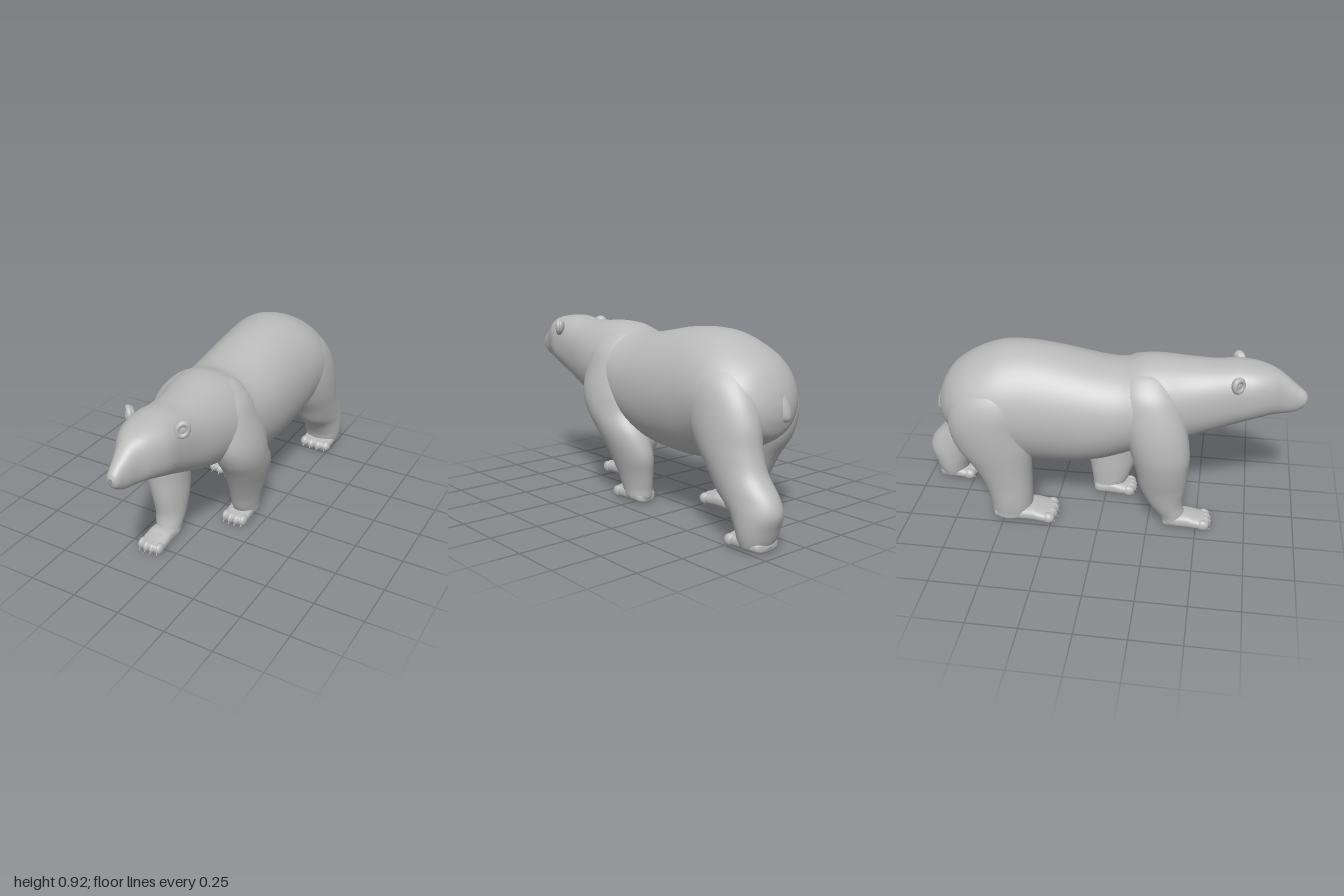
import * as THREE from 'three';

const fur = new THREE.MeshStandardMaterial({ color: 0xbababa });
fur.name = 'greyFur';

const spow = (v, e) => Math.sign(v) * Math.abs(v) ** e;

// Smooth loft through rings [cx, cy, cz, r1, r2, roundness]; roundness below 1 is boxier.
// Upright rings lie in x/y (running towards -z), flat ones in x/z (running down).
function loft(name, rings, upright, steps = 64, sides = 40) {
  const curve = pick => new THREE.CatmullRomCurve3(rings.map(pick), false, 'catmullrom', 0.5);
  const centre = curve(r => new THREE.Vector3(r[0], r[1], r[2]));
  const radius = curve(r => new THREE.Vector3(r[3], r[4], r[5] ?? 1));
  const pos = [], idx = [];
  for (let i = 0; i <= steps; i++) {
    const c = centre.getPoint(i / steps), r = radius.getPoint(i / steps);
    const r1 = Math.max(r.x, 0.001), r2 = Math.max(r.y, 0.001);
    for (let j = 0; j < sides; j++) {
      const a = (j / sides) * Math.PI * 2;
      const u = r1 * spow(Math.cos(a), r.z), v = r2 * spow(Math.sin(a), r.z);
      if (upright) pos.push(c.x + u, c.y + v, c.z);
      else pos.push(c.x + u, c.y, c.z - v);
      if (i < steps) {
        const p = i * sides + j, q = i * sides + (j + 1) % sides;
        idx.push(p, p + sides, q, q, p + sides, q + sides);
      }
    }
  }
  const geo = new THREE.BufferGeometry();
  geo.setAttribute('position', new THREE.Float32BufferAttribute(pos, 3));
  geo.setIndex(idx);
  geo.computeVertexNormals();
  return named(name, geo);
}

function named(name, geo) {
  const mesh = new THREE.Mesh(geo, fur);
  mesh.name = name;
  return mesh;
}

// Ellipsoid, optionally flattened on the ground
function blob(name, x, y, z, rx, ry, rz, grounded = false) {
  const geo = new THREE.SphereGeometry(1, 28, 18);
  geo.scale(rx, ry, rz).translate(x, y, z);
  if (grounded) {
    const p = geo.attributes.position;
    for (let i = 0; i < p.count; i++) p.setY(i, Math.max(p.getY(i), 0.005));
    geo.computeVertexNormals();
  }
  return named(name, geo);
}

// Paw: a low boxy foot with an instep, four shallow toes and short claws
function paw(name, x, zBack, zFront, w) {
  const g = new THREE.Group();
  g.name = name;
  const foot = [
    [zFront - 0.012, 0.034, 0.6, 0.012], [zFront - 0.022, 0.036, 0.86, 0.024], [zFront - 0.06, 0.037, 0.97, 0.03],
    [zFront - 0.1, 0.041, 0.97, 0.035], [zFront - 0.14, 0.045, 0.94, 0.039], [zBack + 0.04, 0.04, 0.88, 0.034],
    [zBack + 0.01, 0.036, 0.65, 0.026], [zBack, 0.035, 0.05, 0.002],
  ];
  g.add(loft('foot', foot.map(([z, y, k, h]) => [x, y, z, w * k, h, 0.75]), true, 40, 32));
  for (let i = 0; i < 4; i++) {
    const t = (i - 1.5) / 1.5;
    const tx = x + t * w * 0.73, tz = zFront - 0.032 - Math.abs(t) * 0.012;
    g.add(blob('toe', tx, 0.035, tz, w * 0.29, 0.03, 0.032, true));
    const claw = named('claw', new THREE.ConeGeometry(0.006, 0.02, 8));
    claw.position.set(tx, 0.018, tz + 0.03);
    claw.rotation.x = Math.PI * 0.7;
    g.add(claw);
  }
  return g;
}

export function createModel() {
  const bear = new THREE.Group();
  bear.name = 'bear';

  // Head, neck and trunk: [z, bottom, top, half width, centre x, roundness]
  const trunk = [
    [1.0, 0.71, 0.735, 0.01, 0.015, 1], [0.985, 0.682, 0.76, 0.03, 0.015, 0.95], [0.94, 0.652, 0.797, 0.045, 0.015, 0.9],
    [0.88, 0.64, 0.845, 0.066, 0.016, 0.88], [0.82, 0.634, 0.875, 0.102, 0.017, 0.85], [0.74, 0.612, 0.893, 0.134, 0.018, 0.82],
    [0.65, 0.575, 0.9, 0.144, 0.018, 0.84], [0.54, 0.527, 0.889, 0.157, 0.02, 0.88], [0.42, 0.475, 0.892, 0.184, 0.02, 0.95],
    [0.3, 0.435, 0.902, 0.215, 0.012, 1], [0.2, 0.41, 0.898, 0.235, 0.005, 1], [0.1, 0.375, 0.866, 0.248, 0.005, 0.97],
    [0, 0.34, 0.868, 0.255, 0.005, 0.95], [-0.12, 0.312, 0.89, 0.262, 0.005, 0.96], [-0.25, 0.298, 0.916, 0.267, 0.005, 1],
    [-0.38, 0.3, 0.929, 0.272, 0.003, 1], [-0.5, 0.33, 0.924, 0.278, 0, 1], [-0.6, 0.36, 0.893, 0.276, 0, 1],
    [-0.69, 0.4, 0.847, 0.252, 0, 1], [-0.77, 0.44, 0.783, 0.198, 0.01, 1], [-0.82, 0.48, 0.705, 0.128, 0.015, 1],
    [-0.842, 0.54, 0.635, 0.06, 0.02, 1], [-0.847, 0.58, 0.595, 0.002, 0.02, 1],
  ];
  bear.add(loft('body', trunk.map(([z, b, t, w, x, e]) => [x, (b + t) / 2, z, w, (t - b) / 2, e]), true, 120, 56));

  // Legs from shoulder or hip to ankle: [x, y, z, half width, half depth]
  bear.add(loft('frontRightLeg', [
    [-0.08, 0.87, 0.22, 0.002, 0.002], [-0.09, 0.85, 0.22, 0.052, 0.08], [-0.125, 0.78, 0.23, 0.085, 0.13],
    [-0.145, 0.69, 0.25, 0.1, 0.15],
    [-0.157, 0.57, 0.28, 0.113, 0.155], [-0.16, 0.45, 0.305, 0.113, 0.147], [-0.152, 0.34, 0.315, 0.103, 0.13],
    [-0.138, 0.24, 0.32, 0.09, 0.117], [-0.129, 0.14, 0.337, 0.077, 0.088], [-0.123, 0.07, 0.368, 0.066, 0.07],
    [-0.123, 0.025, 0.38, 0.058, 0.055], [-0.123, 0.01, 0.38, 0.002, 0.002],
  ], false));
  bear.add(loft('frontLeftLeg', [
    [0.085, 0.87, 0.2, 0.002, 0.002], [0.095, 0.85, 0.2, 0.052, 0.08], [0.13, 0.78, 0.2, 0.085, 0.13],
    [0.152, 0.69, 0.19, 0.1, 0.16],
    [0.172, 0.57, 0.18, 0.115, 0.175], [0.176, 0.47, 0.152, 0.118, 0.165], [0.17, 0.37, 0.088, 0.108, 0.162],
    [0.154, 0.26, 0.04, 0.09, 0.147], [0.138, 0.16, 0.024, 0.075, 0.115], [0.13, 0.08, 0.015, 0.066, 0.092],
    [0.127, 0.025, 0.0, 0.058, 0.066], [0.127, 0.01, 0.0, 0.002, 0.002],
  ], false));
  bear.add(loft('hindRightLeg', [
    [-0.09, 0.84, -0.52, 0.002, 0.002], [-0.1, 0.82, -0.52, 0.08, 0.11], [-0.142, 0.75, -0.535, 0.11, 0.17],
    [-0.164, 0.66, -0.55, 0.127, 0.2],
    [-0.172, 0.55, -0.56, 0.128, 0.205], [-0.17, 0.43, -0.54, 0.122, 0.195], [-0.165, 0.32, -0.505, 0.112, 0.155],
    [-0.16, 0.22, -0.48, 0.106, 0.128], [-0.157, 0.13, -0.467, 0.105, 0.113], [-0.157, 0.06, -0.465, 0.098, 0.106],
    [-0.157, 0.02, -0.47, 0.085, 0.09], [-0.157, 0.01, -0.47, 0.002, 0.002],
  ], false));
  bear.add(loft('hindLeftLeg', [
    [0.09, 0.84, -0.54, 0.002, 0.002], [0.1, 0.82, -0.54, 0.08, 0.12], [0.135, 0.75, -0.57, 0.11, 0.17],
    [0.154, 0.66, -0.61, 0.122, 0.195],
    [0.165, 0.55, -0.645, 0.125, 0.203], [0.17, 0.44, -0.685, 0.12, 0.18], [0.172, 0.34, -0.74, 0.11, 0.16],
    [0.172, 0.25, -0.805, 0.105, 0.168], [0.172, 0.18, -0.858, 0.105, 0.138], [0.172, 0.11, -0.872, 0.104, 0.102],
    [0.172, 0.05, -0.872, 0.094, 0.08], [0.172, 0.018, -0.872, 0.075, 0.055], [0.172, 0.01, -0.872, 0.002, 0.002],
  ], false));

  bear.add(paw('frontRightPaw', -0.123, 0.32, 0.582, 0.068));
  bear.add(paw('frontLeftPaw', 0.123, -0.07, 0.167, 0.068));
  bear.add(paw('hindRightPaw', -0.155, -0.56, -0.218, 0.092));
  bear.add(paw('hindLeftPaw', 0.172, -0.95, -0.73, 0.09));

  // Ears: cupped discs with a soft rim, mirrored about the head
  for (const s of [-1, 1]) {
    const ear = new THREE.Group();
    ear.name = s > 0 ? 'leftEar' : 'rightEar';
    const rim = named('earRim', new THREE.TorusGeometry(0.026, 0.013, 14, 28));
    rim.scale.set(1, 1.15, 1.1);
    ear.add(rim, blob('earBack', 0, 0, -0.01, 0.034, 0.04, 0.02));
    ear.position.set(0.018 + s * 0.14, 0.842, 0.66);
    ear.rotation.set(0, s * 0.8, -s * 0.3);
    bear.add(ear);
  }

  // Nose pad sunk into the muzzle tip
  bear.add(blob('nose', 0.015, 0.735, 0.962, 0.034, 0.026, 0.034));

  // Short tail growing out of the rump
  bear.add(loft('tail', [
    [-0.005, 0.76, -0.72, 0.002, 0.002], [-0.01, 0.73, -0.745, 0.034, 0.035], [-0.018, 0.68, -0.787, 0.036, 0.036],
    [-0.026, 0.62, -0.816, 0.036, 0.035], [-0.032, 0.57, -0.826, 0.035, 0.034], [-0.034, 0.545, -0.826, 0.026, 0.026],
    [-0.034, 0.534, -0.826, 0.002, 0.002],
  ], false, 32, 20));

  return bear;
}
